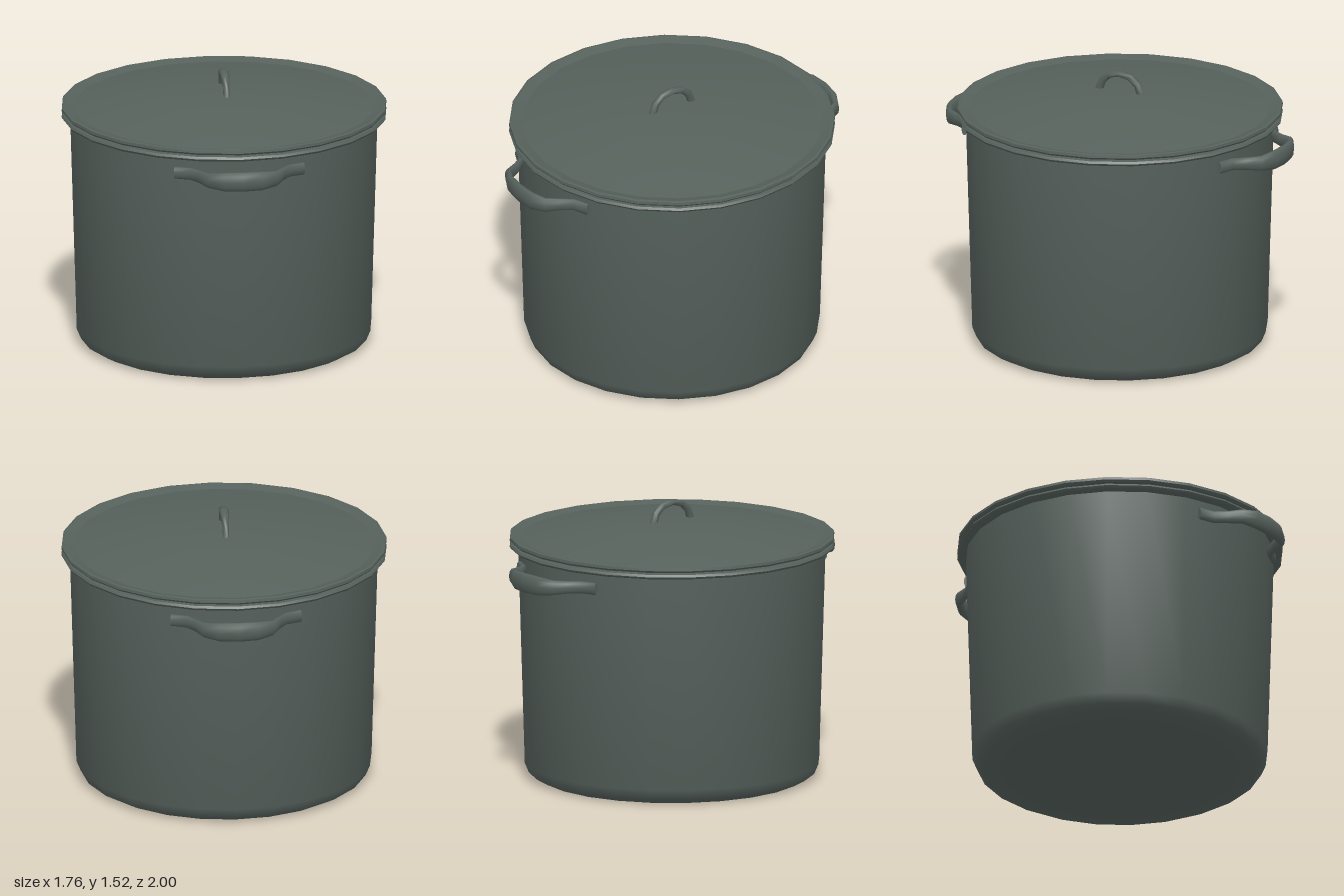
import * as THREE from 'three';
import { toCreasedNormals } from 'three/addons/utils/BufferGeometryUtils.js';

const SEGMENTS = 24;
const SIDES = 10;

// Revolve a profile of [radius, height] points, listed from bottom to top on the outside
function revolve(profile, crease) {
  const points = profile.map(([r, y]) => new THREE.Vector2(r, y));
  return toCreasedNormals(new THREE.LatheGeometry(points, SEGMENTS), crease);
}

// Sweep an ellipse along a path in the xz plane.
// Each station is [x, z, half thickness in the plane, half height along y].
function sweep(stations) {
  const up = new THREE.Vector3(0, 1, 0);
  const centres = stations.map(([x, z]) => new THREE.Vector3(x, 0, z));
  const last = centres.length - 1;
  const positions = [];
  const index = [];
  centres.forEach((c, i) => {
    const tangent = centres[Math.min(i + 1, last)].clone()
      .sub(centres[Math.max(i - 1, 0)]).normalize();
    const side = new THREE.Vector3().crossVectors(up, tangent);
    for (let j = 0; j < SIDES; j++) {
      const a = (j / SIDES) * Math.PI * 2;
      const p = c.clone()
        .addScaledVector(side, stations[i][2] * Math.cos(a))
        .addScaledVector(up, stations[i][3] * Math.sin(a));
      positions.push(p.x, p.y, p.z);
    }
  });
  const start = positions.length / 3;
  positions.push(...centres[0].toArray(), ...centres[last].toArray());
  for (let j = 0; j < SIDES; j++) {
    const k = (j + 1) % SIDES;
    for (let i = 0; i < last; i++) {
      const a = i * SIDES, b = a + SIDES;
      index.push(a + j, a + k, b + j, a + k, b + k, b + j);
    }
    // End caps
    index.push(start, k, j, start + 1, last * SIDES + j, last * SIDES + k);
  }
  const geometry = new THREE.BufferGeometry();
  geometry.setAttribute('position', new THREE.Float32BufferAttribute(positions, 3));
  geometry.setIndex(index);
  return toCreasedNormals(geometry, 1.25);
}

// Complete a symmetric path from its right half, which ends at the middle
function mirrored(half) {
  const other = half.slice(0, -1).reverse().map(([x, ...rest]) => [-x, ...rest]);
  return [...half, ...other];
}

export function createModel() {
  const model = new THREE.Group();
  model.name = 'stockPot';
  const enamel = new THREE.MeshStandardMaterial({ color: 0x56615c });
  enamel.name = 'grey green enamel';

  const add = (name, geometry) => {
    const mesh = new THREE.Mesh(geometry, enamel);
    mesh.name = name;
    model.add(mesh);
    return mesh;
  };

  // Tapered body with a rounded base, a flared rim and a hollow inside
  add('potBody', revolve([
    [0, 0], [0.72, 0], [0.775, 0.03], [0.798, 0.085],
    [0.833, 1.262], [0.872, 1.266], [0.88, 1.278], [0.872, 1.29], [0.815, 1.29],
    [0.78, 0.09], [0.71, 0.03], [0, 0.03],
  ], 0.95));

  // Shallow domed lid with a raised rim
  add('lid', revolve([
    [0, 1.296], [0.81, 1.296], [0.87, 1.301], [0.88, 1.312], [0.878, 1.327],
    [0.865, 1.331], [0.81, 1.316], [0.72, 1.334], [0.39, 1.392], [0, 1.413],
  ], 0.42));

  // Side handles, thick in the middle, with ends lying on the wall
  const handleGeometry = sweep(mirrored([
    [0.35, 0.762, 0.016, 0.034],
    [0.265, 0.797, 0.017, 0.034],
    [0.222, 0.858, 0.018, 0.035],
    [0.183, 0.93, 0.02, 0.042],
    [0.103, 0.967, 0.022, 0.053],
    [0, 0.977, 0.023, 0.055],
  ]));
  for (const [name, turn] of [['frontHandle', 0], ['backHandle', Math.PI]]) {
    const handle = add(name, handleGeometry);
    handle.position.y = 1.183;
    handle.rotation.y = turn;
  }

  // Arched lid handle, swept flat and then stood upright along z
  const lidHandle = add('lidHandle', sweep(mirrored([
    [0.125, 0, 0.023, 0.016],
    [0.105, 0.057, 0.021, 0.018],
    [0.064, 0.095, 0.018, 0.024],
    [0, 0.109, 0.016, 0.027],
  ])));
  lidHandle.rotation.set(-Math.PI / 2, 0, Math.PI / 2, 'YXZ');
  lidHandle.rotation.set(-Math.PI / 2, Math.PI / 2, 0, 'YXZ');
  lidHandle.position.y = 1.395;

  return model;
}
